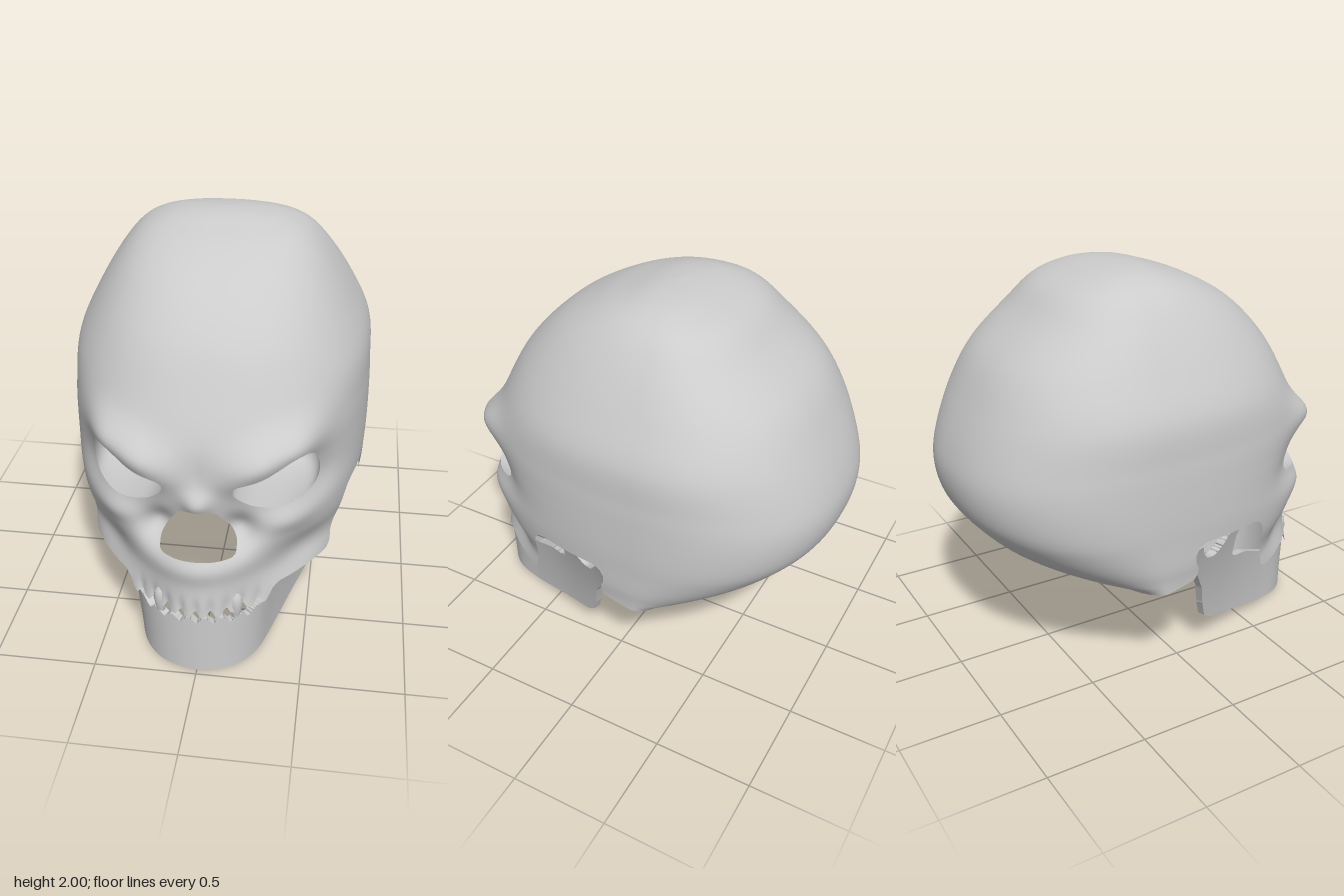
import * as THREE from 'three';
import { mergeVertices } from 'three/addons/utils/BufferGeometryUtils.js';

const material = new THREE.MeshStandardMaterial({ color: 0xcccccc, side: THREE.DoubleSide });
const { smoothstep, lerp, clamp } = THREE.MathUtils;

// Horizontal sections of the skull: height, front z, back z, half width
const SECTIONS = [
  [2.0, -0.08, -0.08, 0], [1.99, 0.01, -0.19, 0.17], [1.963, 0.11, -0.3, 0.3],
  [1.9, 0.285, -0.45, 0.42], [1.78, 0.49, -0.58, 0.525], [1.6, 0.665, -0.77, 0.635],
  [1.4, 0.78, -0.885, 0.727], [1.2, 0.868, -0.97, 0.745], [1.05, 0.88, -1.0, 0.75],
  [0.9, 0.88, -0.97, 0.75], [0.78, 0.9, -0.885, 0.745], [0.67, 0.935, -0.775, 0.74],
  [0.59, 0.96, -0.64, 0.73], [0.52, 0.975, -0.42, 0.725], [0.42, 0.99, -0.3, 0.72],
  [0.3, 1.0, -0.3, 0.7],
];

// Soft relief pushed along z: centre x, centre y, radius x, radius y, height, slope
const RELIEF = [
  [0.3, 1.13, 0.2, 0.11, 0.085, 0.36],  // brow ridge
  [0.47, 1.18, 0.08, 0.08, 0.04, 0],    // outer end of the brow
  [0.54, 0.96, 0.1, 0.12, -0.04, 0],    // outer rim of the eye
  [0, 0.92, 0.07, 0.065, 0.055, 0],     // nasal bone
  [0.18, 0.76, 0.09, 0.09, -0.08, 0],   // beside the nose
  [0, 0.61, 0.2, 0.08, 0.035, 0],       // shelf under the nose
  [0.43, 0.8, 0.12, 0.07, 0.035, 0],    // cheekbone
  [0.46, 0.54, 0.14, 0.13, -0.08, 0],   // hollow under the cheek
  [0.25, 0.42, 0.13, 0.2, -0.045, 0],   // taper of the tooth row
];

// Smooth closed outline through a few points
const outline = (pts, n) =>
  new THREE.CatmullRomCurve3(pts.map(([x, y]) => new THREE.Vector3(x, y, 0)), true, 'catmullrom', 0.5)
    .getSpacedPoints(n).slice(0, n).map((p) => [p.x, p.y]);

const EYE = outline([[0.16, 0.985], [0.18, 1.03], [0.3, 1.075], [0.44, 1.145], [0.505, 1.12],
  [0.535, 1.0], [0.515, 0.915], [0.44, 0.885], [0.35, 0.88], [0.25, 0.9], [0.19, 0.94]], 64);
const NOSE = outline([[0, 0.89], [0.08, 0.868], [0.115, 0.82], [0.172, 0.72], [0.178, 0.69], [0.16, 0.65], [0, 0.648],
  [-0.16, 0.65], [-0.178, 0.69], [-0.172, 0.72], [-0.115, 0.82], [-0.08, 0.868]], 60);
// Region (z, y) open below the skull: cheek edge, temple, ear notch, base
const UNDERSIDE = [[0.7, 0.43], [0.48, 0.43], [0.445, 0.455], [0.42, 0.6], [0.395, 0.71], [0.37, 0.75],
  [0.32, 0.77], [0, 0.77], [-0.04, 0.75], [-0.06, 0.71], [-0.055, 0.67], [-0.035, 0.63], [-0.045, 0.575],
  [-0.2, 0.54], [-0.4, 0.522], [-1.2, 0.522], [-1.2, 0], [0.7, 0]];
// Jawbone seen from the side (z, y)
const JAW = [[1.2, -0.1], [0.96, 0.003], [0.65, 0.03], [0.4, 0.1], [0.2, 0.16], [0.15, 0.2], [0.12, 0.29],
  [0.09, 0.41], [0.03, 0.52], [-0.02, 0.64], [-0.03, 0.69], [-0.015, 0.72], [0.015, 0.715], [0.04, 0.66],
  [0.08, 0.61], [0.14, 0.592], [0.2, 0.62], [0.26, 0.69], [0.3, 0.72], [0.34, 0.71], [0.355, 0.68],
  [0.33, 0.62], [0.325, 0.5], [0.36, 0.475], [0.45, 0.455], [0.6, 0.38], [0.74, 0.31], [0.85, 0.33], [1.2, 0.34]];
// Jawbone seen from above (x, z), mirrored about the chin
const JAW_SIDE = [[0.17, 0.93], [0.29, 0.82], [0.365, 0.63], [0.45, 0.4], [0.535, 0.18], [0.605, -0.03], [0.66, -0.2]];
const JAW_PLAN = new THREE.SplineCurve([...JAW_SIDE.map(([x, z]) => [-x, z]).reverse(), [0, 0.97], ...JAW_SIDE]
  .map(([x, z]) => new THREE.Vector2(x, z)));

// Signed distance to a polygon, positive outside
function distance(poly, x, y) {
  let best = Infinity, inside = false;
  poly.forEach(([ax, ay], i) => {
    const [bx, by] = poly[(i + 1) % poly.length];
    const ex = bx - ax, ey = by - ay;
    const t = clamp(((x - ax) * ex + (y - ay) * ey) / (ex * ex + ey * ey), 0, 1);
    best = Math.min(best, Math.hypot(x - ax - ex * t, y - ay - ey * t));
    if ((ay > y) !== (by > y) && x < ax + (ex * (y - ay)) / ey) inside = !inside;
  });
  return inside ? -best : best;
}

// Section values at row t, by Catmull-Rom
function section(t) {
  const last = SECTIONS.length - 1, i = Math.min(Math.floor(t), last - 1), f = t - i;
  const row = (k) => SECTIONS[clamp(k, 0, last)];
  return [0, 1, 2, 3].map((k) => {
    const a = row(i - 1)[k], b = row(i)[k], c = row(i + 1)[k], d = row(i + 2)[k];
    return b + 0.5 * f * (c - a + f * (2 * a - 5 * b + 4 * c - d + f * (3 * (b - c) + d - a)));
  });
}

function relief(x, y) {
  x = Math.abs(x);
  let dz = 0;
  for (const [cx, cy, rx, ry, h, slope] of RELIEF) {
    const u = (x - cx) / rx, v = (y - cy - slope * (x - cx)) / ry;
    dz += h * Math.exp(-u * u - v * v);
  }
  // Grooves between the upper teeth
  const groove = Math.abs(Math.cos((Math.PI * x) / 0.07)) ** 3 * (1 - smoothstep(x, 0.28, 0.36));
  return dz - 0.012 * groove * Math.exp(-(((y - 0.38) / 0.05) ** 2));
}

const frontRoundness = (y) => lerp(2, 2.4, smoothstep(y, 0.5, 0.85));
const backRoundness = (y) => lerp(1.8, 2.3, smoothstep(y, 0.52, 0.85));
const middle = (w) => -0.08 - 0.12 * Math.min(1, w / 0.7);

function skullPoint(angle, t) {
  const [y, front, back, w] = section(t);
  const s = Math.sin(angle), c = Math.cos(angle), mid = middle(w);
  const e = 2 / (c > 0 ? frontRoundness(y) : backRoundness(y)), x = w * Math.sign(s) * Math.abs(s) ** e;
  return [x, y, c > 0 ? mid + (front - mid) * c ** e + relief(x, y) : mid + (back - mid) * (-c) ** e];
}

// Depth of the face surface at (x, y)
function faceZ(x, y) {
  let lo = 0, hi = SECTIONS.length - 1;
  for (let i = 0; i < 30; i++) {
    const m = (lo + hi) / 2;
    if (section(m)[0] > y) lo = m; else hi = m;
  }
  const [, front, , w] = section(lo), n = frontRoundness(y), mid = middle(w);
  return mid + (front - mid) * (1 - (Math.abs(x) / w) ** n) ** (1 / n) + relief(x, y);
}

function skullKeep([x, y, z]) {
  const ax = Math.abs(x), keep = distance(UNDERSIDE, z, y);
  if (z < 0.3) return keep;
  const teeth = 0.345 + 0.03 * Math.abs(Math.cos((Math.PI * ax) / 0.07)) ** 3;
  return Math.min(keep, distance(EYE, ax, y), distance(NOSE, x, y),
    y - lerp(teeth, 0.43, smoothstep(ax, 0.3, 0.38)));
}

function jawPoint(u, y, inset = 0) {
  const p = JAW_PLAN.getPoint(u), t = JAW_PLAN.getTangent(u), flare = 0.93 + 0.1 * y + 0.33 * y * y;
  return [(p.x + t.y * inset) * flare, y, p.y - t.x * inset];
}

function jawKeep([x, y, z]) {
  const ax = Math.abs(x);
  const teeth = 0.32 - 0.03 * Math.abs(Math.cos((Math.PI * ax) / 0.08)) ** 3;
  const top = z > 0.4 ? lerp(teeth, 0.6, smoothstep(ax, 0.29, 0.4)) : 1;
  return Math.min(-distance(JAW, z, y), top - y);
}

function geometry(positions) {
  const g = new THREE.BufferGeometry();
  g.setAttribute('position', new THREE.Float32BufferAttribute(positions, 3));
  const merged = mergeVertices(g, 1e-5);
  merged.computeVertexNormals();
  return merged;
}

// Grid over (us, vs) trimmed where keep < 0; returns triangles and cut edges in (u, v)
function trimmedGrid(us, vs, point, keep) {
  const nodes = us.map((u) => vs.map((v) => ({ u, v, k: keep(point(u, v)) })));
  const triangles = [], cuts = [];
  const trim = (corners) => {
    const kept = [], edge = [];
    corners.forEach((a, i) => {
      const b = corners[(i + 1) % 3];
      if (a.k >= 0) kept.push(a);
      if ((a.k >= 0) !== (b.k >= 0)) {
        const f = a.k / (a.k - b.k), p = { u: lerp(a.u, b.u, f), v: lerp(a.v, b.v, f) };
        kept.push(p);
        edge.push(p);
      }
    });
    for (let i = 2; i < kept.length; i++) triangles.push(kept[0], kept[i - 1], kept[i]);
    if (edge.length === 2) cuts.push(edge);
  };
  for (let i = 0; i < us.length - 1; i++) for (let j = 0; j < vs.length - 1; j++) {
    const a = nodes[i][j], b = nodes[i + 1][j], c = nodes[i + 1][j + 1], d = nodes[i][j + 1];
    trim([a, d, b]);
    trim([b, d, c]);
  }
  return { triangles, cuts };
}

const steps = (n, f) => Array.from({ length: n + 1 }, (_, i) => f(i / n));

function add(group, name, geo) {
  const mesh = new THREE.Mesh(geo, material);
  mesh.name = name;
  group.add(mesh);
  return mesh;
}

// Rounded bowl from the eye rim back to a small round opening near the nose
function socketGeometry(side) {
  const cx = 0.35, cy = 1.0, cz = 0.46, rings = 14, n = EYE.length, pos = [];
  const at = (k, i) => {
    const [x, y] = EYE[i % n], f = k / rings, z = faceZ(x, y), dir = Math.atan2(y - cy, x - cx);
    const c = Math.cos((f * Math.PI) / 2), s = Math.sin((f * Math.PI) / 2);
    return [side * (cx - 0.12 * f * f + (x - cx) * c + 0.038 * Math.cos(dir) * s),
      cy - 0.01 * f + (y - cy) * c + 0.038 * Math.sin(dir) * s, z + (cz - z) * s - 0.08 * Math.sin(f * Math.PI)];
  };
  for (let k = 0; k < rings; k++) for (let i = 0; i < n; i++) {
    const a = at(k, i), b = at(k, i + 1), c = at(k + 1, i + 1), d = at(k + 1, i);
    pos.push(...(side < 0 ? [a, b, c, a, c, d] : [a, c, b, a, d, c]).flat());
  }
  return geometry(pos);
}

export function createModel() {
  const model = new THREE.Group();
  model.name = 'skull';
  // Cranium and face shell, with finer columns toward the face
  const columns = steps(260, (f) => { const s = 2 * f - 1; return Math.PI * (0.45 * s + 0.55 * s ** 3); });
  const shell = trimmedGrid(columns, steps(150, (f) => f * (SECTIONS.length - 1)), skullPoint, skullKeep);
  add(model, 'craniumAndFace', geometry(shell.triangles.flatMap((p) => skullPoint(p.u, p.v))));
  // Eye sockets and fangs
  for (const side of [1, -1]) {
    add(model, side > 0 ? 'leftEyeSocket' : 'rightEyeSocket', socketGeometry(side));
    const fang = add(model, side > 0 ? 'leftFang' : 'rightFang', new THREE.LatheGeometry(
      [[0, -0.1], [0.01, -0.085], [0.022, -0.03], [0.034, 0.03], [0.028, 0.08], [0, 0.11]]
        .map(([r, y]) => new THREE.Vector2(r, y)), 16));
    fang.position.set(side * 0.18, 0.345, faceZ(0.18, 0.4) - 0.02);
  }
  // Lower jaw: outer and inner walls joined along the trimmed edge
  const jaw = new THREE.Group();
  jaw.name = 'lowerJaw';
  model.add(jaw);
  const wall = trimmedGrid(steps(150, (f) => f), steps(70, (f) => 0.74 * f), jawPoint, jawKeep);
  const outer = (p) => jawPoint(p.u, p.v), inner = (p) => jawPoint(p.u, p.v, 0.04);
  const flipped = (list) => list.map((_, i) => list[i - (i % 3) + 2 - (i % 3)]);
  add(jaw, 'jawOuterWall', geometry(flipped(wall.triangles).flatMap(outer)));
  add(jaw, 'jawInnerWall', geometry(wall.triangles.flatMap(inner)));
  add(jaw, 'jawEdge', geometry(wall.cuts.flatMap(([a, b]) =>
    [outer(a), outer(b), inner(b), outer(a), inner(b), inner(a)].flat())));
  return model;
}
